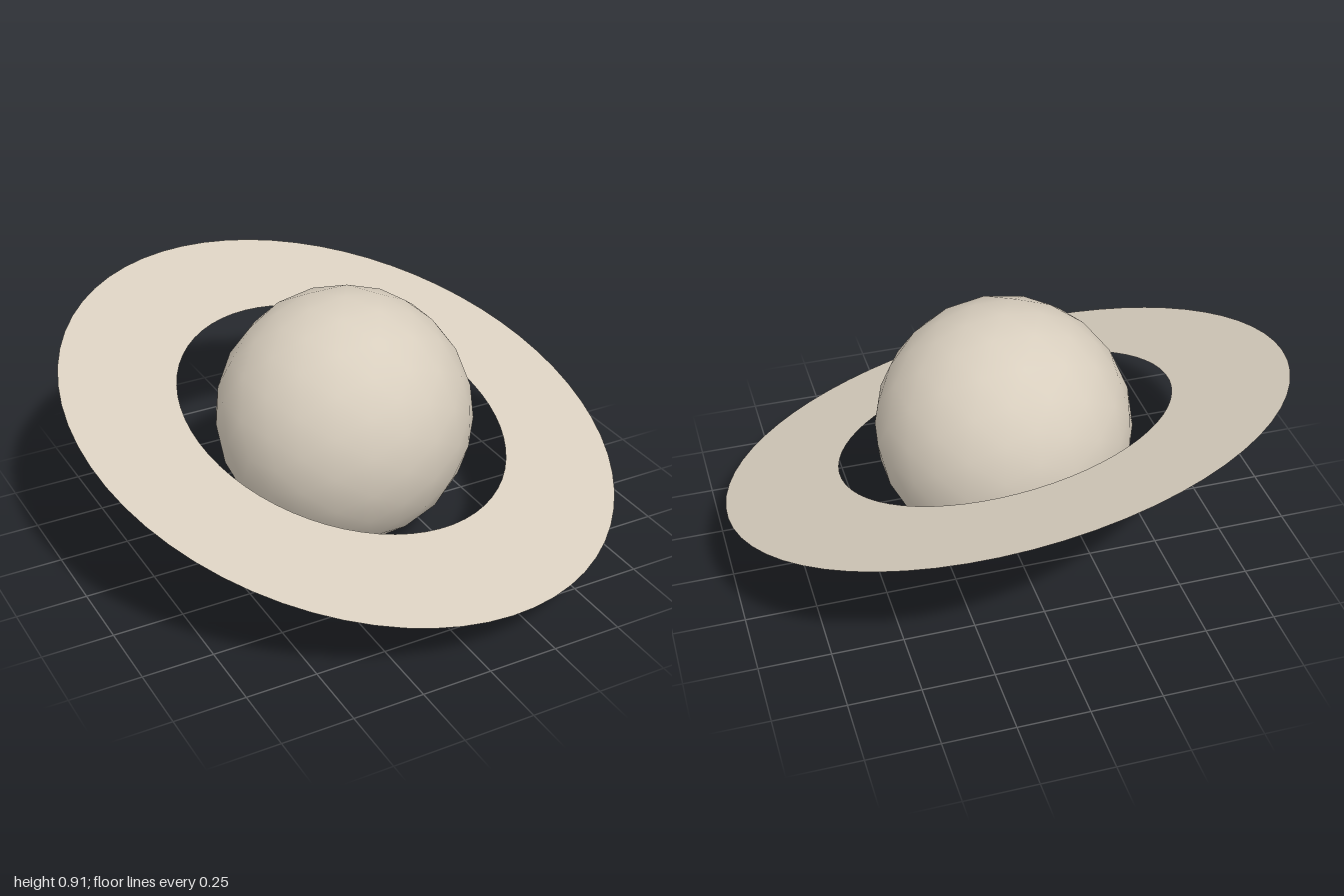
import * as THREE from 'three';

export function createModel() {
  const model = new THREE.Group();
  model.name = 'ringedPlanet';

  const radius = 0.455;
  const sand = new THREE.MeshStandardMaterial({ color: 0xd8cebe, side: THREE.DoubleSide });
  sand.name = 'sand';

  // Smooth-shaded planet ball resting on the ground
  const planet = new THREE.Mesh(new THREE.IcosahedronGeometry(radius, 3), sand);
  planet.name = 'planet';
  planet.position.y = radius;
  model.add(planet);

  // Thin flat ring, laid horizontal and then tilted forward and to the model's left
  const ringGeometry = new THREE.RingGeometry(0.603, 1.0146, 64);
  ringGeometry.rotateX(-Math.PI / 2);
  const ring = new THREE.Mesh(ringGeometry, sand);
  ring.name = 'ring';
  ring.position.y = 0.458;
  ring.rotation.set(0.28, 0, -0.17);
  model.add(ring);

  return model;
}
